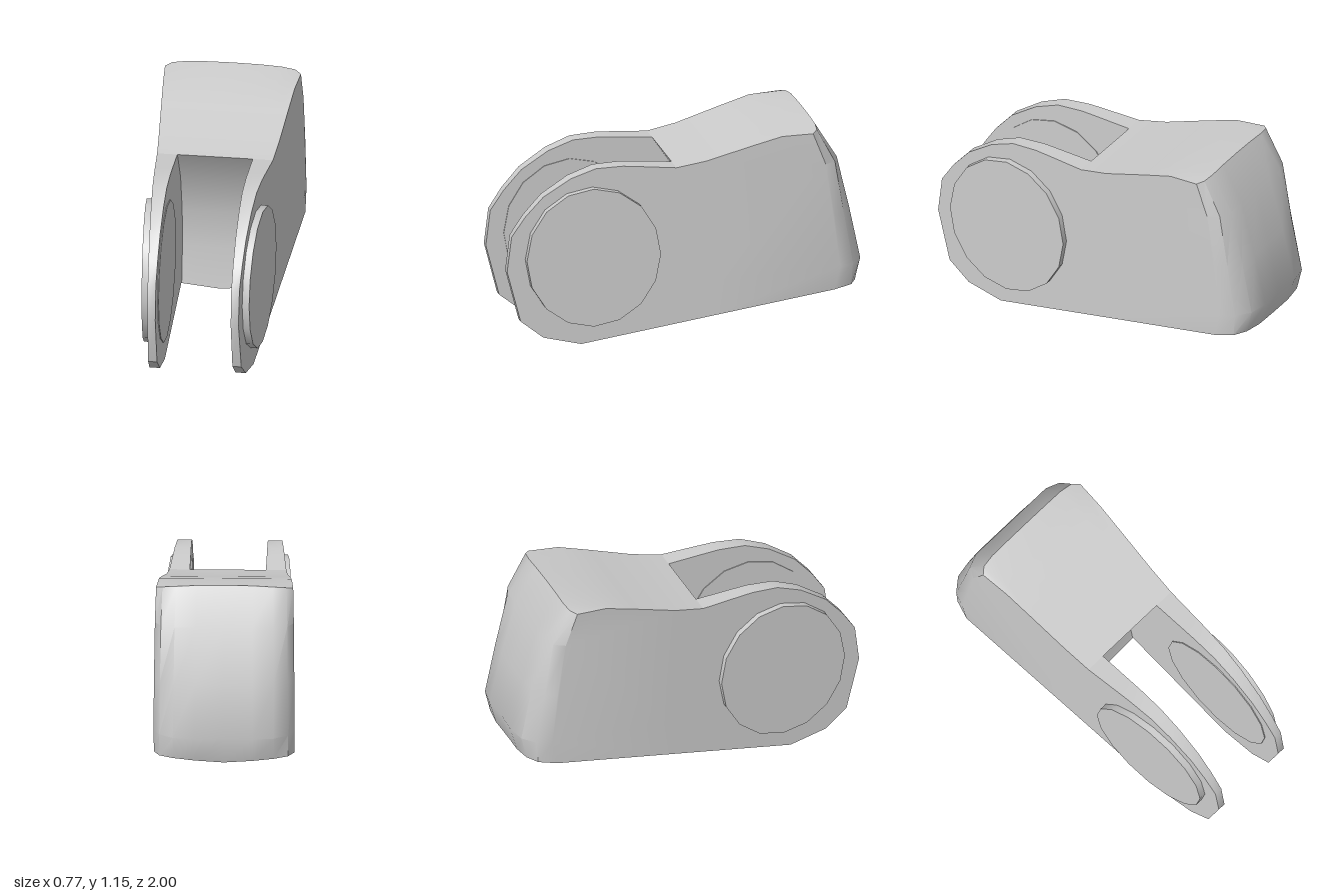
import * as THREE from 'three';
import { toCreasedNormals } from 'three/addons/utils/BufferGeometryUtils.js';

const material = new THREE.MeshStandardMaterial({ color: 0xcccccc });

// Half width of the housing: the sides taper towards the front
const halfWidth = (z) => 0.323 - 0.073 * z;

// Skin a row of closed [x, z, y] loops, ordered from -x to +x, and cap both ends
function loft(slices) {
  const n = slices[0].length;
  const positions = [];
  const index = [];
  for (const slice of slices) for (const [x, z, y] of slice) positions.push(x, y, z);
  for (let i = 0; i < slices.length - 1; i++) {
    for (let j = 0; j < n; j++) {
      const k = (j + 1) % n;
      const a = i * n + j, b = i * n + k, c = b + n, d = a + n;
      index.push(a, d, c, a, c, b);
    }
  }
  const cap = (slice) => THREE.ShapeUtils.triangulateShape(slice.map(([, z, y]) => new THREE.Vector2(z, y)), []);
  const last = (slices.length - 1) * n;
  for (const [a, b, c] of cap(slices[0])) index.push(a, b, c);
  for (const [a, b, c] of cap(slices[slices.length - 1])) index.push(last + a, last + c, last + b);
  const geometry = new THREE.BufferGeometry();
  geometry.setAttribute('position', new THREE.Float32BufferAttribute(positions, 3));
  geometry.setIndex(index);
  return toCreasedNormals(geometry, 0.6);
}

function addMesh(parent, name, geometry) {
  const mesh = new THREE.Mesh(geometry, material);
  mesh.name = name;
  parent.add(mesh);
}

// Side profiles as [z, y]
const slotWall = [[-0.12, 0.125], [-0.15, 0.33], [-0.14, 0.55], [-0.07, 0.79], [0.065, 0.992]];
const topLine = [[-0.1, 1.02], [-0.35, 1.09], [-0.52, 1.135]];
const forkRim = [
  [0.59, 0.01], [0.8, 0.06], [0.925, 0.16], [1, 0.45], [0.975, 0.65], [0.9, 0.76], [0.8, 0.87],
  [0.65, 0.965], [0.51, 1.015], [0.36, 1.02], [0.25, 1.01],
];

// Rear edge of the block, from the centre (s = 0) to the side (s = 1)
const rearEdges = [
  { s: 0, edge: [[-0.73, 1.165], [-0.85, 0.96], [-0.93, 0.66], [-0.99, 0.37], [-0.95, 0.255]] },
  { s: 0.4, edge: [[-0.73, 1.163], [-0.85, 0.96], [-0.93, 0.66], [-1, 0.37], [-0.96, 0.255]] },
  { s: 0.7, edge: [[-0.73, 1.157], [-0.85, 0.96], [-0.92, 0.66], [-0.98, 0.37], [-0.95, 0.255]] },
  { s: 0.9, edge: [[-0.72, 1.15], [-0.82, 0.96], [-0.87, 0.66], [-0.92, 0.37], [-0.91, 0.25]] },
  { s: 1, edge: [[-0.69, 1.14], [-0.76, 0.96], [-0.81, 0.66], [-0.84, 0.37], [-0.81, 0.236]] },
];

// Solid rear block with a slightly bulging underside
function bodySlice({ s, edge }, side) {
  const bulge = 0.033 * (1 - s);
  const loop = [...slotWall, ...topLine, ...edge].map(([z, y]) => [side * s * halfWidth(z), z, y]);
  loop[0][2] -= bulge;
  loop[loop.length - 1][2] -= bulge;
  return loop;
}

// One cheek of the fork, with a flat inner face and a tapered outer face
function forkGeometry(side) {
  const loop = [slotWall[0], ...forkRim, ...slotWall.slice(1).reverse()];
  const inner = loop.map(([z, y]) => [side * 0.207, z, y]);
  const outer = loop.map(([z, y]) => [side * halfWidth(z), z, y]);
  return loft(side > 0 ? [inner, outer] : [outer, inner]);
}

// Hub disc passing through a cheek, its outer face parallel to the taper
function hubGeometry(side) {
  const geometry = new THREE.CylinderGeometry(0.37, 0.37, 1, 16);
  geometry.rotateZ(-side * Math.PI / 2);
  geometry.scale(1, 1.07, 1);
  geometry.translate(0, 0.515, 0.53);
  const p = geometry.attributes.position;
  for (let i = 0; i < p.count; i++) {
    const outside = p.getX(i) * side > 0;
    p.setX(i, side * (outside ? halfWidth(p.getZ(i)) + 0.038 : 0.202));
  }
  return toCreasedNormals(geometry, 0.6);
}

export function createModel() {
  const model = new THREE.Group();
  model.name = 'forkedHousing';

  const slices = [
    ...rearEdges.slice(1).reverse().map((r) => bodySlice(r, -1)),
    ...rearEdges.map((r) => bodySlice(r, 1)),
  ];
  addMesh(model, 'rearBlock', loft(slices));

  for (const [side, label] of [[1, 'left'], [-1, 'right']]) {
    addMesh(model, label + 'ForkCheek', forkGeometry(side));
    addMesh(model, label + 'HubDisc', hubGeometry(side));
  }
  return model;
}
